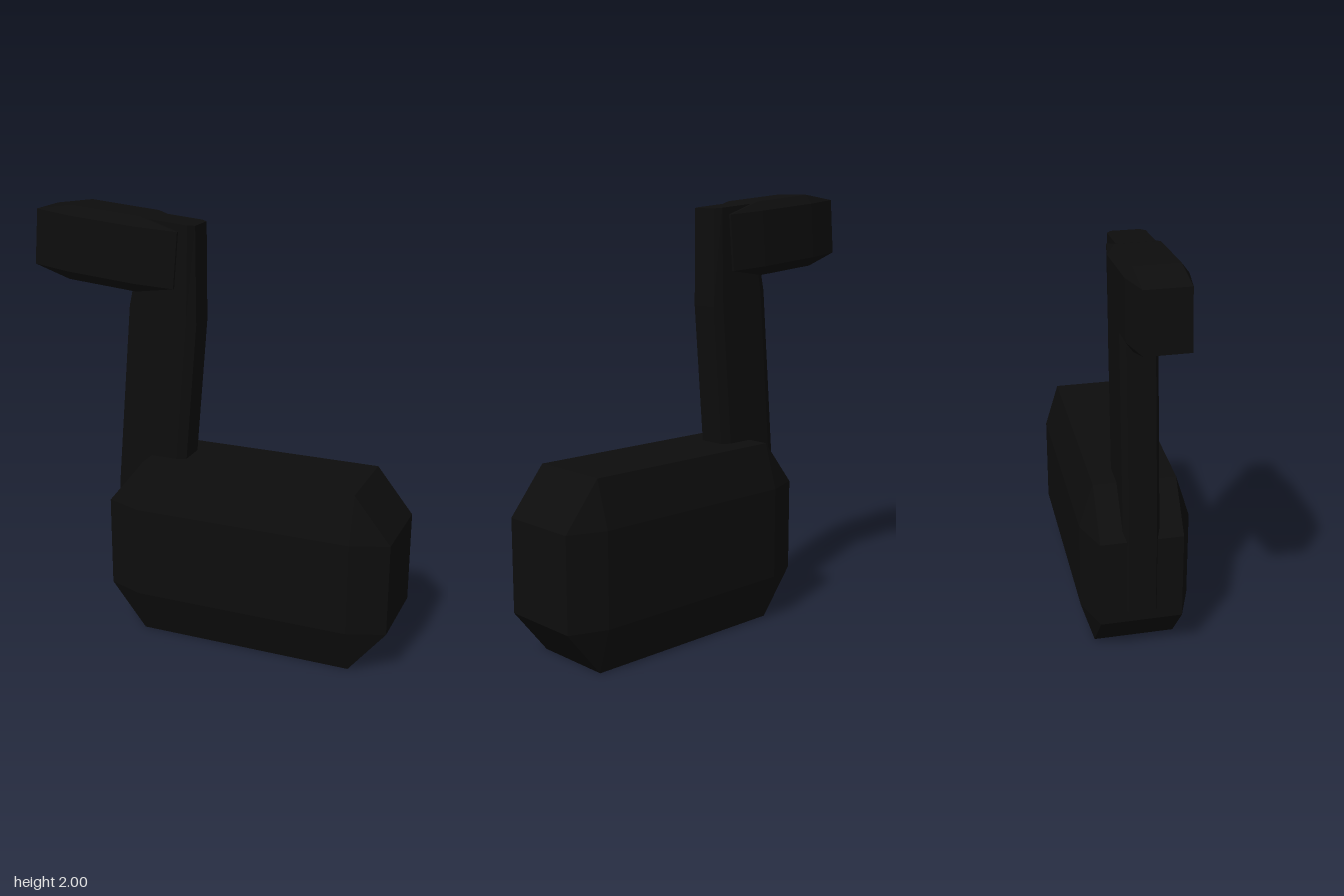
import * as THREE from 'three';
import { ConvexGeometry } from 'three/addons/geometries/ConvexGeometry.js';

const black = new THREE.MeshStandardMaterial({ color: 0x0d0d0d, flatShading: true });
black.name = 'black';

// Bevelled box: each corner becomes three points, one pushed out along each axis.
function bevelledBox(outer, inner) {
  const points = [];
  for (const sx of [-1, 1]) for (const sy of [-1, 1]) for (const sz of [-1, 1]) {
    for (let axis = 0; axis < 3; axis++) {
      const p = inner.map((v, i) => (i === axis ? outer[i] : v));
      points.push(new THREE.Vector3(sx * p[0], sy * p[1], sz * p[2]));
    }
  }
  return new ConvexGeometry(points);
}

// Octagonal column lofted through sections given as [leftX, leftY, rightX, rightY].
function loft(sections, halfZ, endZ) {
  const outline = [
    [1, -endZ], [0.875, -halfZ], [0.125, -halfZ], [0, -endZ],
    [0, endZ], [0.125, halfZ], [0.875, halfZ], [1, endZ],
  ];
  const n = outline.length;
  const positions = [];
  const index = [];
  for (const [x0, y0, x1, y1] of sections) {
    for (const [t, z] of outline) positions.push(x0 + (x1 - x0) * t, y0 + (y1 - y0) * t, z);
  }
  for (let s = 0; s < sections.length - 1; s++) {
    for (let k = 0; k < n; k++) {
      const a = s * n + k;
      const b = s * n + ((k + 1) % n);
      index.push(a, b, b + n, a, b + n, a + n);
    }
  }
  // End caps
  const top = (sections.length - 1) * n;
  for (let k = 1; k < n - 1; k++) {
    index.push(0, k + 1, k, top, top + k, top + k + 1);
  }
  const geometry = new THREE.BufferGeometry();
  geometry.setAttribute('position', new THREE.Float32BufferAttribute(positions, 3));
  geometry.setIndex(index);
  const flat = geometry.toNonIndexed();
  flat.computeVertexNormals();
  return flat;
}

export function createModel() {
  const model = new THREE.Group();
  model.name = 'longNeckedAnimal';

  function add(name, geometry) {
    const mesh = new THREE.Mesh(geometry, black);
    mesh.name = name;
    model.add(mesh);
    return mesh;
  }

  // Heavy bevelled body
  const body = add('body', bevelledBox([0.68, 0.427, 0.254], [0.51, 0.215, 0.19]));
  body.position.set(0.197, 0.427, 0);

  // Bent neck, its foot sunk into the body
  add('neck', loft([
    [-0.495, 0.27, -0.18, 0.27],
    [-0.495, 0.69, -0.16, 0.66],
    [-0.42, 1.56, -0.09, 1.5],
    [-0.33, 1.966, -0.092, 1.945],
  ], 0.083, 0.063));

  // Head, tipped slightly and reaching out over -x
  const head = add('head', bevelledBox([0.35, 0.17, 0.126], [0.17, 0.128, 0.095]));
  head.position.set(-0.525, 1.82, 0);
  head.rotation.z = -0.087;

  return model;
}
